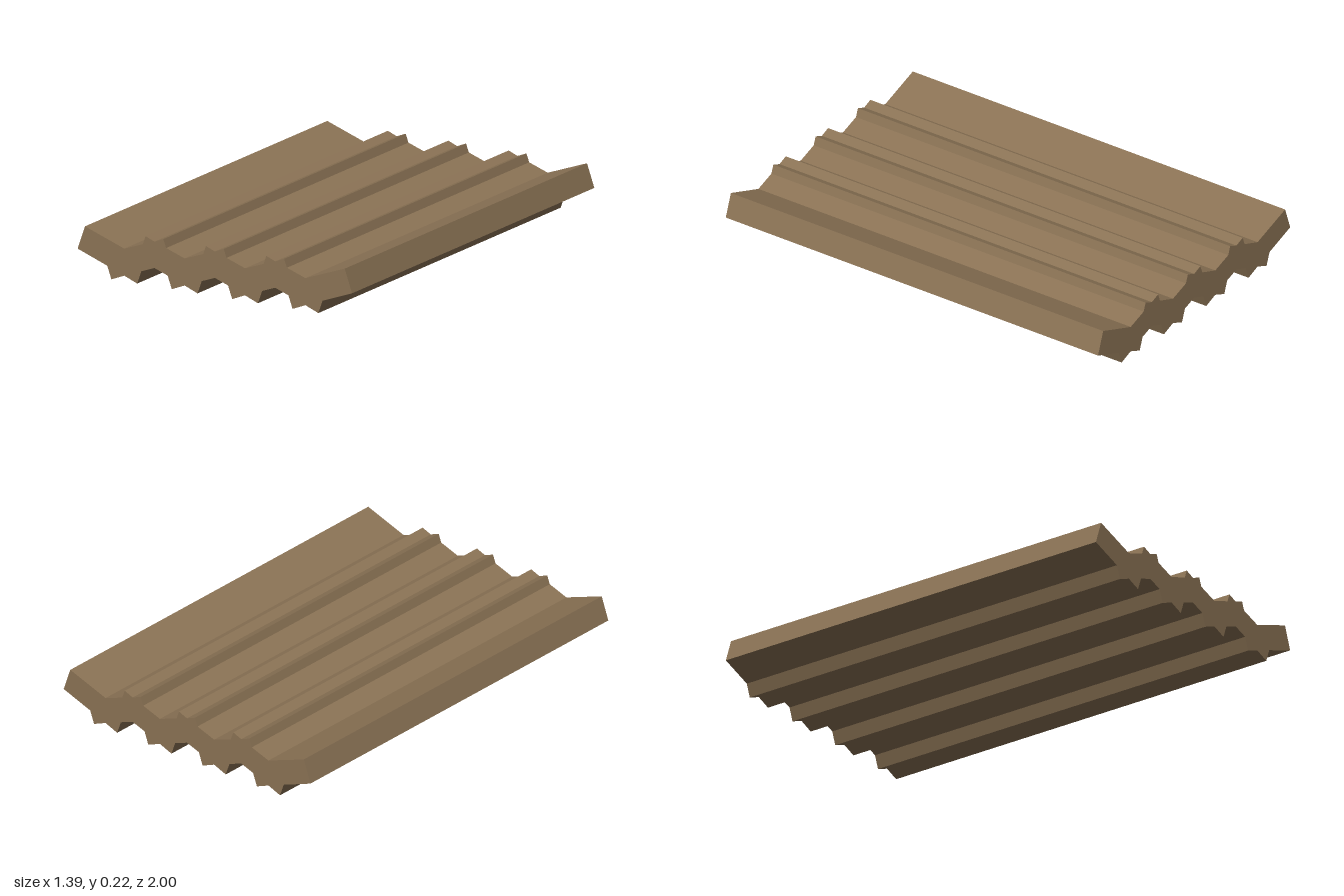
import * as THREE from 'three';

const PITCH = 0.305; // spacing of the corrugations

export function createModel() {
  const group = new THREE.Group();
  group.name = 'corrugatedPanel';
  const wood = new THREE.MeshStandardMaterial({ color: 0x8b7355 });
  wood.name = 'brown wood';

  // Top edge, right to left: flared edge, then three notched ridges with valleys between
  const points = [[0.693, 0.113], [0.656, 0.218], [1.5 * PITCH, 0.147]];
  for (const k of [1, 0, -1]) {
    const ridge = [[0.059, 0.18], [0.045, 0.218], [0, 0.2], [-0.045, 0.218], [-0.059, 0.18], [-PITCH / 2, 0.147]];
    for (const [x, y] of ridge) points.push([x + k * PITCH, y]);
  }
  points.push([-0.656, 0.218], [-0.693, 0.113]);

  // Bottom edge, left to right: four notched feet with hollows between
  for (const k of [-1.5, -0.5, 0.5, 1.5]) {
    const outer = 0.086;
    const foot = [[-outer, 0.058], [-0.065, 0], [0, 0.026], [0.065, 0], [outer, 0.058]];
    for (const [x, y] of foot) points.push([x + k * PITCH, y]);
    if (k < 1.5) points.push([(k + 0.5) * PITCH, 0.082]);
  }

  // Constant section along the full length
  const shape = new THREE.Shape(points.map(([x, y]) => new THREE.Vector2(x, y)));
  const geometry = new THREE.ExtrudeGeometry(shape, { depth: 2, bevelEnabled: false });
  geometry.translate(0, 0, -1);
  const panel = new THREE.Mesh(geometry, wood);
  panel.name = 'panel';
  group.add(panel);
  return group;
}
